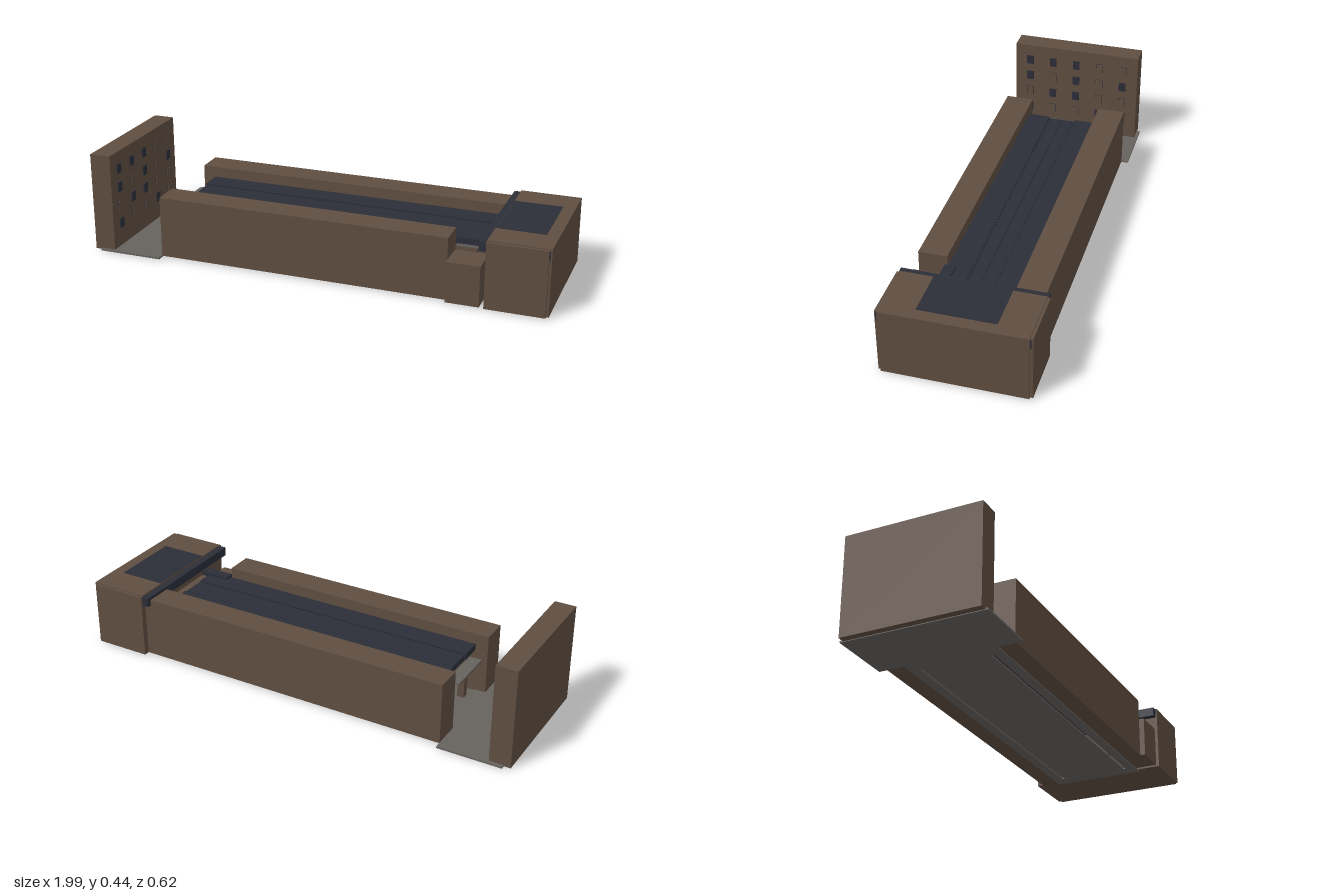
import * as THREE from 'three';

export function createModel() {
  const model = new THREE.Group();
  model.name = 'longTroughAssembly';

  const material = (name, color) => {
    const m = new THREE.MeshStandardMaterial({ color });
    m.name = name;
    return m;
  };
  const brown = material('brown', 0x5f4d40);
  const dark = material('slate', 0x2b2d38);
  const grey = material('grey', 0x66625e);

  // Box given by its lower and upper limits on each axis
  const box = (name, mat, x0, x1, y0, y1, z0, z1, parent = model) => {
    const mesh = new THREE.Mesh(new THREE.BoxGeometry(x1 - x0, y1 - y0, z1 - z0), mat);
    mesh.position.set((x0 + x1) / 2, (y0 + y1) / 2, (z0 + z1) / 2);
    mesh.name = name;
    parent.add(mesh);
    return mesh;
  };

  const group = (name) => {
    const g = new THREE.Group();
    g.name = name;
    model.add(g);
    return g;
  };

  // Base plate, wide at the end, with two long slots
  const base = group('basePlate');
  box('baseEnd', grey, -0.97, -0.69, 0, 0.008, -0.31, 0.305, base);
  box('baseMiddle', grey, -0.69, 0.75, 0, 0.008, -0.146, 0.146, base);
  for (const s of [-1, 1]) {
    const a = s * 0.158, b = s * 0.2;
    box('baseEdge', grey, -0.69, 0.75, 0, 0.008, Math.min(a, b), Math.max(a, b), base);
    const c = s * 0.146;
    box('slotEnd', grey, -0.69, -0.64, 0, 0.008, Math.min(a, c), Math.max(a, c), base);
    box('slotEnd', grey, 0.69, 0.75, 0, 0.008, Math.min(a, c), Math.max(a, c), base);
  }

  // Long side walls; the front one stops short above a low block
  box('backWall', brown, -0.69, 0.735, 0.005, 0.272, -0.28, -0.16);
  box('frontWall', brown, -0.69, 0.575, 0.005, 0.272, 0.155, 0.275);
  box('lowBlock', brown, 0.575, 0.715, 0.005, 0.18, 0.165, 0.298);

  // Tall end panel with a grid of buttons
  const panel = group('endPanel');
  box('panelBoard', brown, -1, -0.908, 0.003, 0.435, -0.295, 0.295, panel);
  const rows = ['dddbb', 'dbdbd', 'bddbb', 'dbbdb'];
  rows.forEach((row, r) => {
    [...row].forEach((type, c) => {
      const z = 0.225 - c * 0.1125, y = 0.36 - r * 0.083;
      if (type === 'b') {
        box('buttonFrame', dark, -0.91, -0.906, y - 0.0215, y + 0.0215, z - 0.0165, z + 0.0165, panel);
        box('button', brown, -0.91, -0.903, y - 0.02, y + 0.02, z - 0.015, z + 0.015, panel);
      } else {
        box('darkButton', dark, -0.91, -0.903, y - 0.021, y + 0.021, z - 0.016, z + 0.016, panel);
      }
    });
  });

  // Raised bed inside the trough
  const bed = group('bed');
  box('bedBack', dark, -0.635, 0.68, 0.2, 0.226, -0.159, -0.062, bed);
  box('bedFront', dark, -0.635, 0.68, 0.2, 0.226, 0.058, 0.154, bed);
  for (const z of [-0.061, -0.001]) {
    box('bedStrip', dark, -0.63, 0.68, 0.196, 0.221, z, z + 0.058, bed);
  }
  // Rows of teeth along the seams
  const teeth = new THREE.InstancedMesh(new THREE.BoxGeometry(0.008, 0.006, 0.006), dark, 0);
  teeth.geometry.dispose();
  for (const z of [-0.058, 0.054]) {
    for (let i = 0; i < 60; i++) {
      const x = -0.62 + i * 0.0217;
      box('tooth', dark, x, x + 0.01, 0.22, 0.227, z - 0.003, z + 0.003, bed);
    }
  }
  // Ledge and posts carrying the bed
  box('endLedge', grey, -0.685, -0.63, 0.176, 0.188, -0.108, 0.108, bed);
  for (const z of [-0.1, 0.07]) {
    box('bedPost', brown, -0.63, -0.6, 0.008, 0.2, z, z + 0.03, bed);
    box('bedPost', brown, 0.62, 0.65, 0.008, 0.2, z, z + 0.03, bed);
  }
  box('innerShelf', brown, 0.68, 0.74, 0.008, 0.2, -0.16, 0.15, bed);
  box('sideRail', dark, 0.58, 0.715, 0.218, 0.236, 0.12, 0.165, bed);
  box('lowerRail', grey, 0.58, 0.7, 0.194, 0.204, 0.12, 0.158, bed);

  // Head box with side cheeks and an inset top
  const head = group('headBox');
  box('headBody', brown, 0.735, 0.992, 0.005, 0.2925, -0.294, 0.292, head);
  box('cheekFront', brown, 0.735, 0.982, 0.005, 0.288, 0.29, 0.304, head);
  box('cheekBack', brown, 0.735, 0.982, 0.005, 0.288, -0.306, -0.292, head);
  box('topInset', dark, 0.737, 0.94, 0.288, 0.2945, -0.16, 0.155, head);
  for (const z of [-0.299, 0.292]) {
    box('cornerCatch', dark, 0.978, 0.986, 0.245, 0.284, z, z + 0.007, head);
  }
  box('crossBar', dark, 0.705, 0.735, 0.246, 0.285, -0.298, 0.298, head);

  return model;
}
